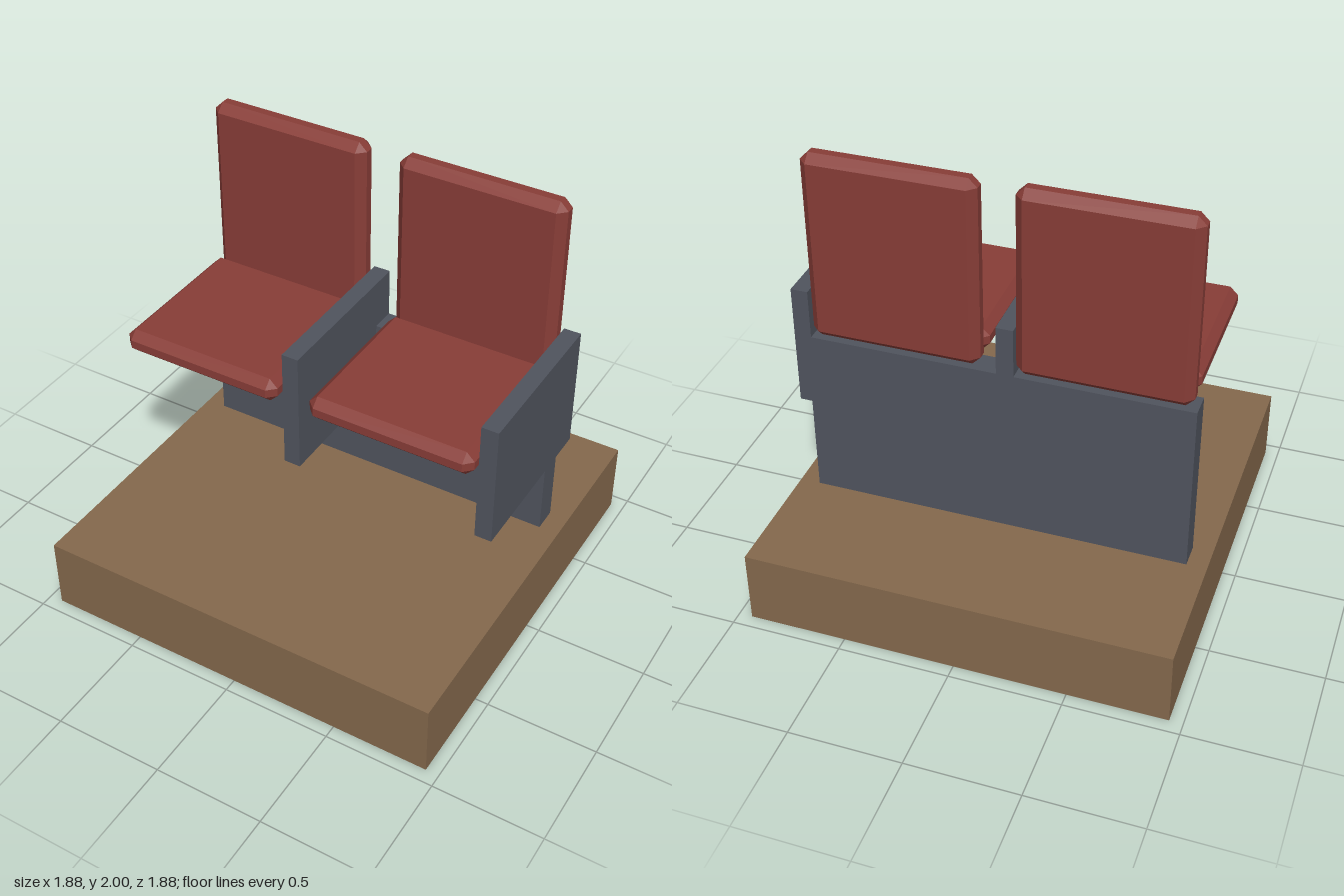
import * as THREE from 'three';
import { ConvexGeometry } from 'three/addons/geometries/ConvexGeometry.js';

const mat = (name, color) => {
  const m = new THREE.MeshStandardMaterial({ color });
  m.name = name;
  return m;
};

// Box with every edge and corner cut flat by c
function chamferedBox(w, h, d, c) {
  const points = [];
  for (const x of [-1, 1]) for (const y of [-1, 1]) for (const z of [-1, 1]) {
    for (let axis = 0; axis < 3; axis++) {
      const [cx, cy, cz] = [0, 1, 2].map((i) => (i === axis ? 0 : c));
      points.push(new THREE.Vector3(x * (w / 2 - cx), y * (h / 2 - cy), z * (d / 2 - cz)));
    }
  }
  return new ConvexGeometry(points);
}

export function createModel() {
  const model = new THREE.Group();
  model.name = 'doubleSeat';
  const wood = mat('brown floor', 0x84684c);
  const frame = mat('slate frame', 0x50545e);
  const fabric = mat('red upholstery', 0x883d37);

  // Place a box by its limits on each axis; a chamfer makes it a cushion
  function block(name, material, [x0, x1], [y0, y1], [z0, z1], chamfer = 0) {
    const size = [x1 - x0, y1 - y0, z1 - z0];
    const geometry = chamfer ? chamferedBox(...size, chamfer) : new THREE.BoxGeometry(...size);
    const mesh = new THREE.Mesh(geometry, material);
    mesh.name = name;
    mesh.position.set((x0 + x1) / 2, (y0 + y1) / 2, (z0 + z1) / 2);
    model.add(mesh);
  }

  const rear = [-0.377, -0.265];

  // Floor block and the upright panel carrying the seats
  block('floorBlock', wood, [-0.94, 0.94], [0, 0.342], [-0.94, 0.94]);
  block('supportPanel', frame, [-0.85, 0.85], [0.342, 1.135], rear);

  // Each seat has a cushion, a backrest and an armrest on its left
  ['right', 'left'].forEach((side, i) => {
    const x0 = -0.83 + i * 0.907;
    const width = [x0, x0 + 0.752];
    block(side + 'SeatCushion', fabric, width, [1.136, 1.248], [-0.265, 0.452], 0.037);
    block(side + 'Backrest', fabric, width, [1.136, 2], rear, 0.037);
    block(side + 'Armrest', frame, [x0 + 0.752, x0 + 0.828], [0.798, 1.36], [-0.377, 0.377]);
  });

  return model;
}
